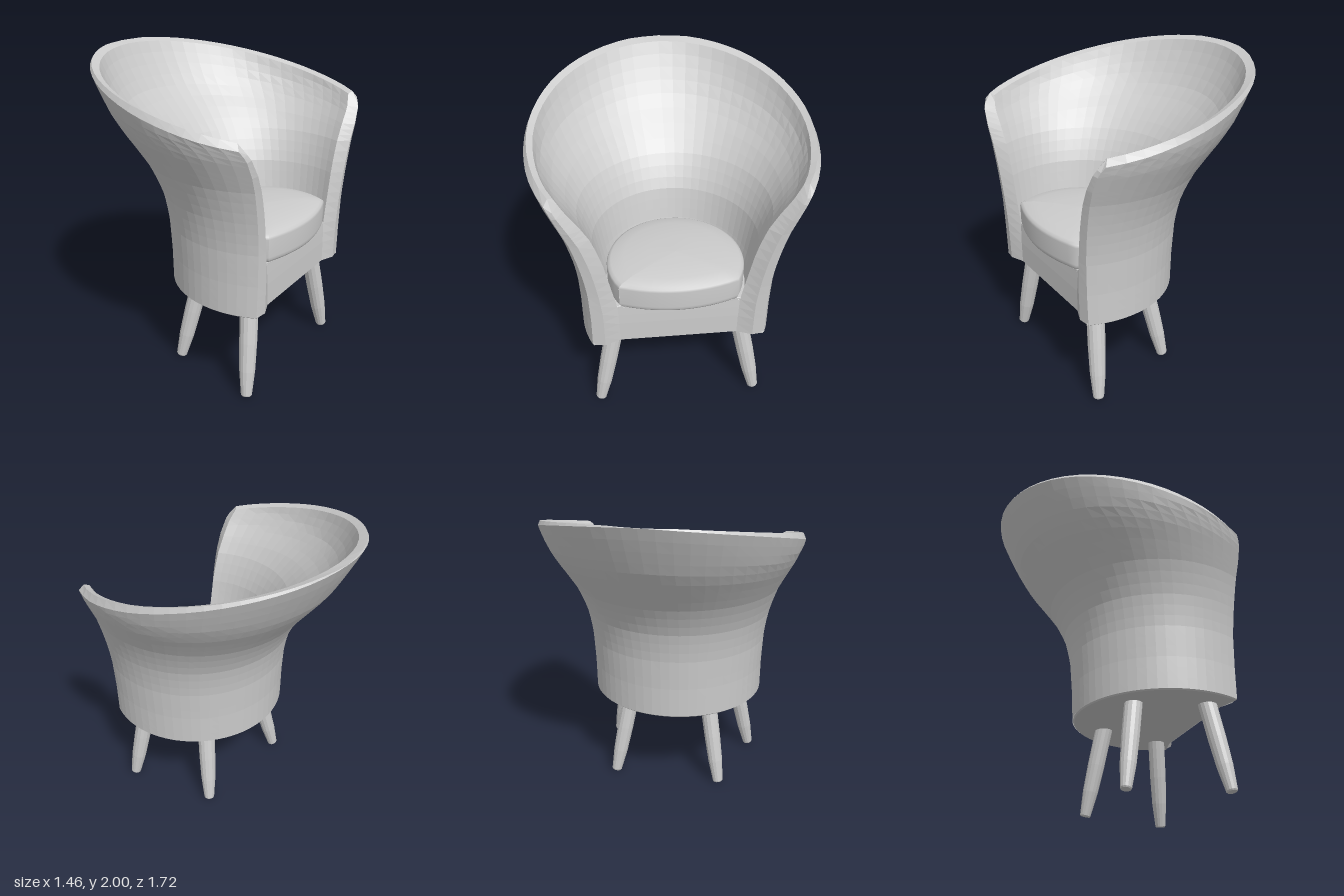
import * as THREE from 'three';

const flat = new THREE.MeshStandardMaterial({ color: 0xcccccc, flatShading: true, side: THREE.DoubleSide });
const smooth = new THREE.MeshStandardMaterial({ color: 0xcccccc, side: THREE.DoubleSide });

// Shell sections by height: [y, radius, centre x]
const OUTER = [[0.59, 0.6, 0.43], [0.8, 0.602, 0.425], [1, 0.612, 0.42], [1.1, 0.625, 0.416], [1.2, 0.645, 0.41],
  [1.3, 0.673, 0.393], [1.4, 0.71, 0.37], [1.5, 0.759, 0.342], [1.6, 0.81, 0.31], [1.7, 0.85, 0.278],
  [1.8, 0.873, 0.245], [1.9, 0.886, 0.204], [2, 0.895, 0.165]];
const INNER = [[0.59, 0.435, 0.43], [0.87, 0.438, 0.43], [1, 0.467, 0.42], [1.1, 0.487, 0.416], [1.2, 0.508, 0.41],
  [1.3, 0.541, 0.393], [1.4, 0.585, 0.37], [1.5, 0.648, 0.342], [1.6, 0.723, 0.31], [1.7, 0.783, 0.278],
  [1.8, 0.815, 0.245], [1.9, 0.83, 0.204], [2, 0.838, 0.165]];
// Front limit by height: [y, x], for the edge crest and for the inner wall
const FRONT = [[0.59, 0.7], [1, 0.706], [1.5, 0.722], [1.6, 0.714], [1.65, 0.692], [1.69, 0.65]];
const INNER_FRONT = [[0.59, 0.662], [0.75, 0.66], [0.87, 0.652], [1.6, 0.655], [1.69, 0.632]];

function lookup(table, y, k) {
  if (y <= table[0][0]) return table[0][k];
  for (let i = 1; i < table.length; i++) {
    const a = table[i - 1], b = table[i];
    if (y <= b[0]) return a[k] + (b[k] - a[k]) * (y - a[0]) / (b[0] - a[0]);
  }
  return table[table.length - 1][k];
}

// Surface through a (nu+1) x (nv+1) lattice of points; faces point along du x dv
function lattice(nu, nv, fn) {
  const pos = [], idx = [];
  for (let i = 0; i <= nu; i++) for (let j = 0; j <= nv; j++) pos.push(...fn(i, j).toArray());
  for (let i = 0; i < nu; i++) for (let j = 0; j < nv; j++) {
    const a = i * (nv + 1) + j, b = a + nv + 1;
    idx.push(a, b, a + 1, b, b + 1, a + 1);
  }
  const g = new THREE.BufferGeometry();
  g.setAttribute('position', new THREE.Float32BufferAttribute(pos, 3));
  g.setIndex(idx);
  g.computeVertexNormals();
  return g;
}

// Point on the outer or inner wall at height y: s = -1..1 around the back
function section(inner, s, y) {
  const table = inner ? INNER : OUTER;
  const r = lookup(table, y, 1), c = lookup(table, y, 2);
  const cut = inner ? lookup(INNER_FRONT, y, 1) : lookup(FRONT, y, 1) - 0.012;
  const t = s * Math.acos((c - cut) / r);
  return new THREE.Vector3(c - r * Math.cos(t), y, r * Math.sin(t));
}

// Level rows up to y = 1.4, then rows fanning up to the slanted rim, softened towards the arms
function wall(inner, s, v) {
  if (v <= 0.6) return section(inner, s, 0.59 + 0.81 * v / 0.6);
  let top = 1.8;
  for (let n = 0; n < 12; n++) top = 2 - 0.225 * (section(inner, s, top).x + 0.73);
  top -= (inner ? 0.012 : 0.035) * Math.min(1, Math.abs(s) * 1.4);
  return section(inner, s, 1.4 + (top - 1.4) * (v - 0.6) / 0.4);
}

// Raised line between the two walls, along the rim and the front edges
function crest(s, v) {
  const p = wall(true, s, v).lerp(wall(false, s, v), 0.95 - 0.4 * Math.abs(s));
  if (v === 1) p.y = Math.min(2, 2 - 0.225 * (p.x + 0.73) + 0.006);
  if (Math.abs(s) === 1) p.x = lookup(FRONT, p.y, 1);
  return p;
}

function add(parent, name, geometry, material) {
  const m = new THREE.Mesh(geometry, material);
  m.name = name;
  parent.add(m);
  return m;
}

function createShell() {
  const g = new THREE.Group();
  g.name = 'backrest';
  const N = 40, M = 20;
  // Outer wall, rim and inner wall in one sweep
  add(g, 'backrestWall', lattice(N, 2 * M + 2, (i, j) => {
    const s = -1 + 2 * i / N;
    if (j <= M) return wall(false, s, j / M);
    if (j === M + 1) return crest(s, 1);
    return wall(true, s, (2 * M + 2 - j) / M);
  }), flat);
  // Bevelled front edges
  for (const s of [1, -1]) {
    add(g, s > 0 ? 'leftFrontEdge' : 'rightFrontEdge', lattice(2, M, (i, j) => {
      const k = s > 0 ? i : 2 - i;
      return k === 1 ? crest(s, j / M) : wall(k === 2, s, j / M);
    }), flat);
  }
  // Recessed panel below the cushion
  add(g, 'frontPanel', lattice(1, 4, (i, j) => section(true, 1 - 2 * i, 0.59 + 0.07 * j)), flat);
  return g;
}

// Round slab with arm ends reaching x = cut and a recessed front between them
function slab(r, cut, y0, y1) {
  const c = 0.43, t = Math.acos((cut - c) / r), b = 0.008;
  const shape = new THREE.Shape();
  shape.absarc(c, 0, r, t, 2 * Math.PI - t, false);
  shape.lineTo(0.645, -0.375);
  shape.lineTo(0.645, 0.375);
  shape.closePath();
  const geo = new THREE.ExtrudeGeometry(shape, {
    depth: y1 - y0 - 2 * b, bevelThickness: b, bevelSize: b, bevelSegments: 1, curveSegments: 40,
  });
  geo.rotateX(-Math.PI / 2);
  geo.translate(0, y0 + b, 0);
  return geo;
}

// Domed cushion: round at the back, gently bowed across the front
function createCushion() {
  const outline = [];
  const half = Math.atan2(0.362, 0.225);
  for (let i = 0; i <= 36; i++) {
    const t = half + (2 * Math.PI - 2 * half) * i / 36;
    outline.push([0.43 + 0.427 * Math.cos(t), 0.427 * Math.sin(t)]);
  }
  for (let i = 1; i <= 12; i++) {
    const k = -1 + 2 * i / 12;
    outline.push([0.655 + 0.07 * (1 - k * k), 0.362 * k]);
  }
  const rings = [[0, 0.868], [0.97, 0.868], [0.99, 0.88], [1, 0.9], [1, 1.015], [0.985, 1.03],
    [0.94, 1.043], [0.75, 1.063], [0.4, 1.077], [0, 1.082]];
  return lattice(rings.length - 1, outline.length - 1, (i, j) => {
    const [s, y] = rings[i], [x, z] = outline[j];
    return new THREE.Vector3(0.42 + (x - 0.42) * s, y, z * s);
  });
}

// Tapered, splayed leg from its foot to its top
function addLeg(parent, name, foot, top) {
  const dir = top.clone().sub(foot), len = dir.length();
  const profile = [[0, 0], [0.03, 0], [0.035, 0.012], [0.05, 0.26], [0.056, 0.55], [0.058, 1]]
    .map(([r, k]) => new THREE.Vector2(r, k * len));
  const leg = add(parent, name, new THREE.LatheGeometry(profile, 14), flat);
  leg.position.copy(foot);
  leg.quaternion.setFromUnitVectors(new THREE.Vector3(0, 1, 0), dir.normalize());
}

export function createModel() {
  const chair = new THREE.Group();
  chair.name = 'tubArmchair';
  chair.add(createShell());
  add(chair, 'underside', slab(0.587, 0.684, 0.58, 0.605), flat);
  add(chair, 'seatPlatform', slab(0.45, 0.64, 0.6, 0.868), flat);
  add(chair, 'seatCushion', createCushion(), smooth);
  for (const s of [1, -1]) {
    const side = s > 0 ? 'left' : 'right';
    addLeg(chair, side + 'FrontLeg', new THREE.Vector3(0.618, 0.008, 0.52 * s), new THREE.Vector3(0.552, 0.62, 0.395 * s));
    addLeg(chair, side + 'BackLeg', new THREE.Vector3(0.015, 0.008, 0.375 * s), new THREE.Vector3(0.118, 0.62, 0.27 * s));
  }
  return chair;
}
